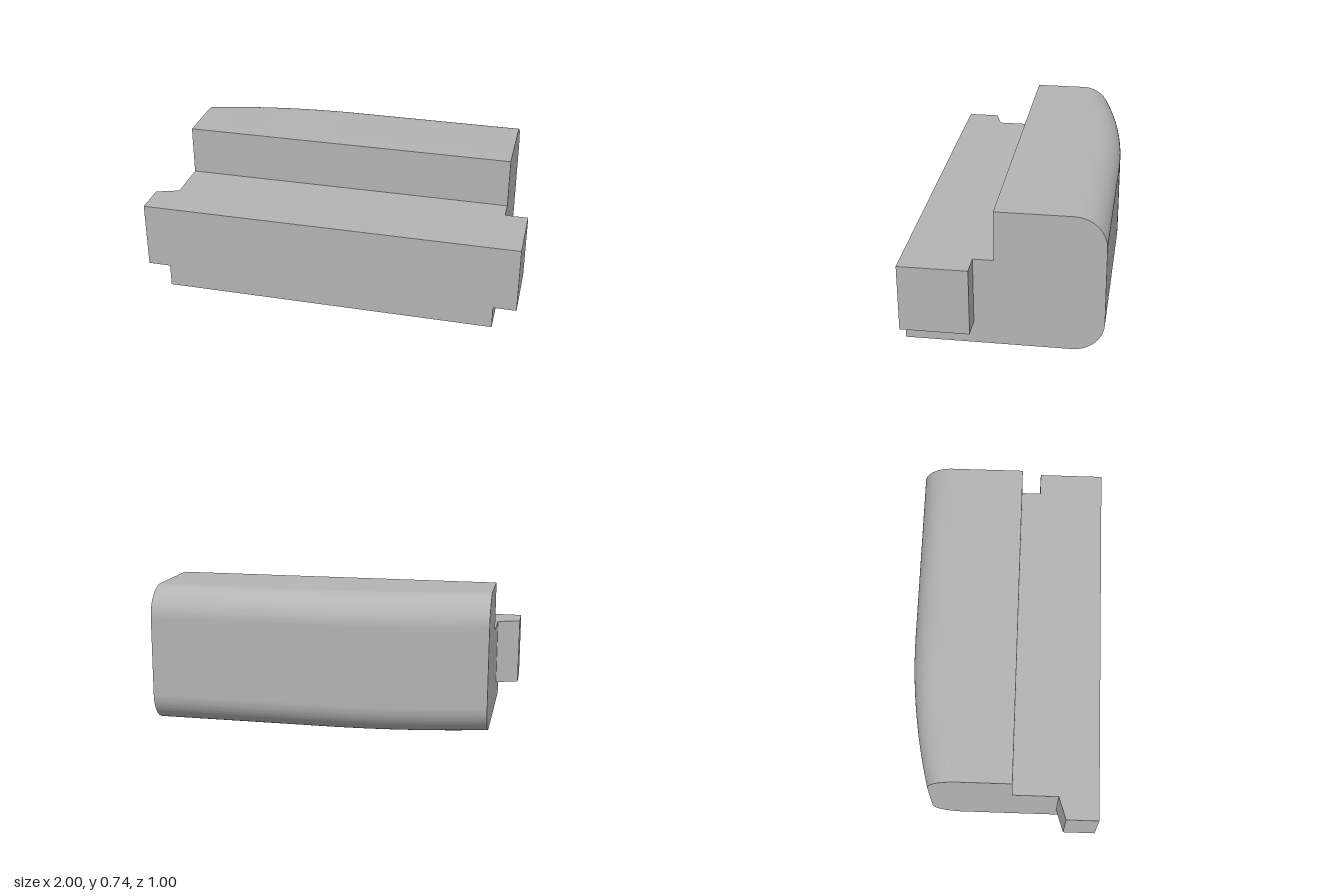
import * as THREE from 'three';
import { toCreasedNormals } from 'three/addons/utils/BufferGeometryUtils.js';

const HALF = 0.88;   // half length of the main body
const R = 0.16;      // rounding of the back edges
const H = 0.735;     // full height
const STEP = 0.473;  // height of the front ledge

// Stepped profile with a rounded back, swept along x; the back curves in towards -x
function bodyGeometry() {
  const s = new THREE.Shape();
  s.moveTo(0.5, 0);
  s.lineTo(0.5, STEP);
  s.lineTo(0.046, STEP);
  s.lineTo(0.046, H);
  s.lineTo(-0.5 + R, H);
  s.absarc(-0.5 + R, H - R, R, Math.PI / 2, Math.PI, false);
  s.lineTo(-0.5, R);
  s.absarc(-0.5 + R, R, R, Math.PI, Math.PI * 1.5, false);
  s.closePath();
  const g = new THREE.ExtrudeGeometry(s, { depth: 2 * HALF, steps: 32, curveSegments: 16, bevelEnabled: false });
  g.rotateY(-Math.PI / 2).translate(HALF, 0, 0);
  const p = g.attributes.position;
  for (let i = 0; i < p.count; i++) {
    const d = Math.min(0, p.getX(i) + 0.06);
    if (p.getZ(i) < -0.33) p.setZ(i, p.getZ(i) + d * d * 0.164);
  }
  return toCreasedNormals(g, 0.5);
}

// End tab: plan outline given as [x, z] pairs, raised from the underside to the ledge
function tabGeometry(outline) {
  const s = new THREE.Shape(outline.map(([x, z]) => new THREE.Vector2(x, -z)));
  const g = new THREE.ExtrudeGeometry(s, { depth: STEP - 0.12, bevelEnabled: false });
  return g.rotateX(-Math.PI / 2).translate(0, 0.12, 0);
}

export function createModel() {
  const model = new THREE.Group();
  const grey = new THREE.MeshStandardMaterial({ color: 0xb4b4b4 });
  grey.name = 'grey';
  const add = (name, geometry) => {
    const mesh = new THREE.Mesh(geometry, grey);
    mesh.name = name;
    model.add(mesh);
  };
  add('body', bodyGeometry());
  add('leftTab', tabGeometry([[HALF, 0.5], [1, 0.5], [1, 0.15], [HALF, 0.15]]));
  add('rightTab', tabGeometry([[-HALF, 0.5], [-1, 0.5], [-1, 0.328], [-HALF, 0.288]]));
  return model;
}
